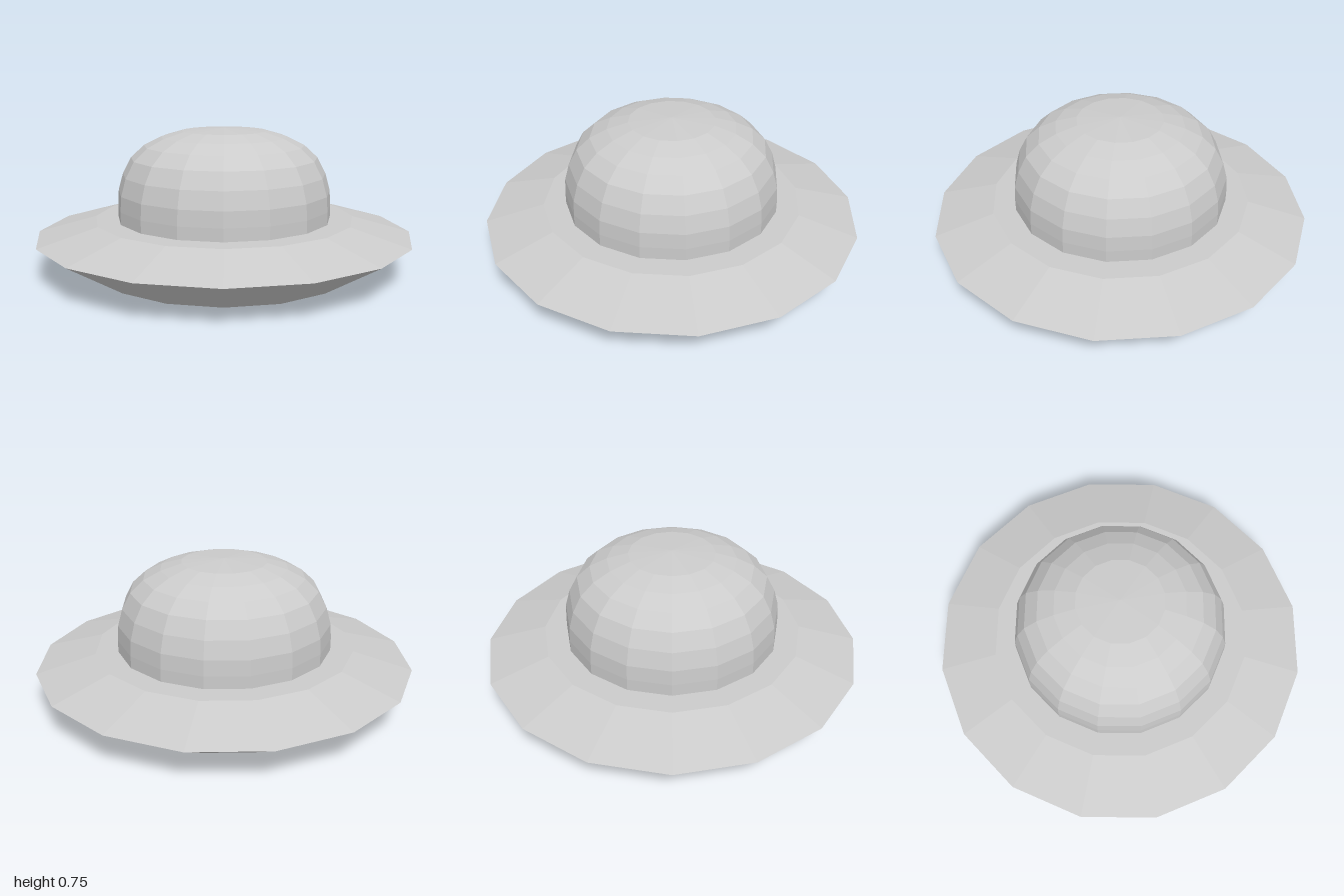
import * as THREE from 'three';

const SIDES = 16;

// Faceted solid of revolution from [radius, height] points, listed bottom to top
function turned(name, profile) {
  const points = profile.map(([r, y]) => new THREE.Vector2(r, y));
  const material = new THREE.MeshStandardMaterial({ color: 0xcccccc, flatShading: true });
  const mesh = new THREE.Mesh(new THREE.LatheGeometry(points, SIDES), material);
  mesh.name = name;
  return mesh;
}

export function createModel() {
  const group = new THREE.Group();
  group.name = 'saucer';

  // Wide disc with a shallow recess underneath and a sharp outer edge
  group.add(turned('disc', [
    [0, 0.05], [0.67, 0.05], [0.67, 0], [0.69, 0],
    [1, 0.19], [0.69, 0.275], [0.565, 0.275],
  ]));

  // Rounded dome on top
  group.add(turned('dome', [
    [0.57, 0.275], [0.57, 0.34], [0.565, 0.42], [0.54, 0.51], [0.495, 0.595],
    [0.425, 0.66], [0.335, 0.705], [0.225, 0.737], [0, 0.752],
  ]));

  return group;
}
